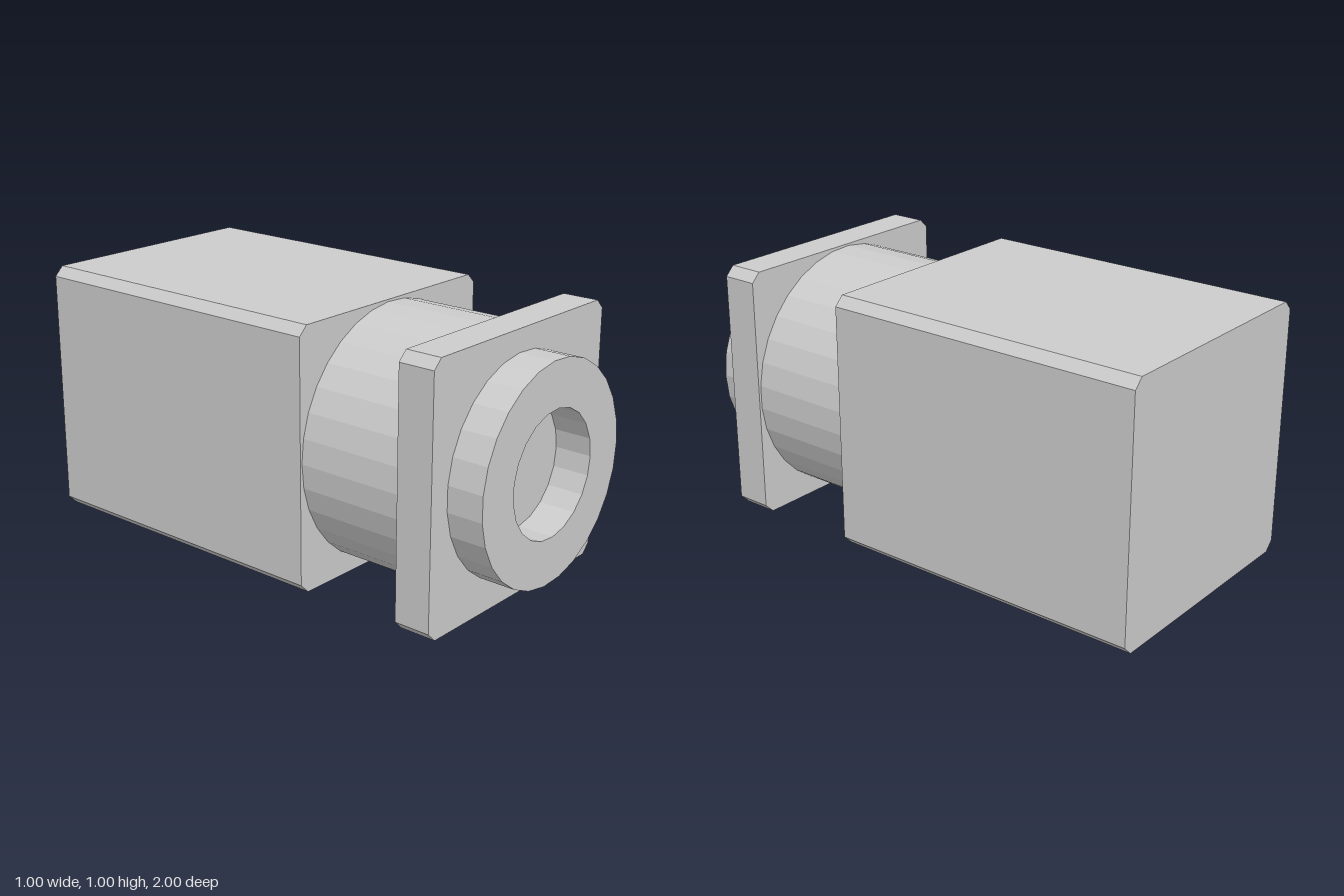
import * as THREE from 'three';

const material = new THREE.MeshStandardMaterial({ color: 0xcccccc, flatShading: true });

// Points of a regular polygon; start is the angle of its first corner.
function polygon(radius, sides, start = 0) {
  return Array.from({ length: sides }, (_, i) => {
    const a = start + (i / sides) * Math.PI * 2;
    return new THREE.Vector2(Math.cos(a) * radius, Math.sin(a) * radius);
  });
}

// Points of a square with cut corners.
function chamferedSquare(half, cut) {
  const k = half - cut;
  return [
    [half, -k], [half, k], [k, half], [-k, half],
    [-half, k], [-half, -k], [-k, -half], [k, -half],
  ].map(([x, y]) => new THREE.Vector2(x, y));
}

// Extrudes an outline from zBack to zFront, centred at mid height.
function slab(name, outline, zBack, zFront, hole) {
  const shape = new THREE.Shape(outline);
  if (hole) shape.holes.push(new THREE.Path(hole));
  const geometry = new THREE.ExtrudeGeometry(shape, {
    depth: zFront - zBack,
    bevelEnabled: false,
  });
  const mesh = new THREE.Mesh(geometry, material);
  mesh.name = name;
  mesh.position.set(0, 0.5, zBack);
  return mesh;
}

export function createModel() {
  const model = new THREE.Group();
  model.name = 'model';
  const square = chamferedSquare(0.5, 0.036);

  model.add(
    // long square body at the rear
    slab('body', square, -1, 0.285),
    // round neck, with a flat facing +x
    slab('neck', polygon(0.492, 33, Math.PI / 33), 0.285, 0.715),
    // square flange
    slab('flange', square, 0.715, 0.858),
    // front ring whose opening ends at the flange
    slab('frontRing', polygon(0.415, 27), 0.858, 1, polygon(0.238, 21)),
  );
  return model;
}
